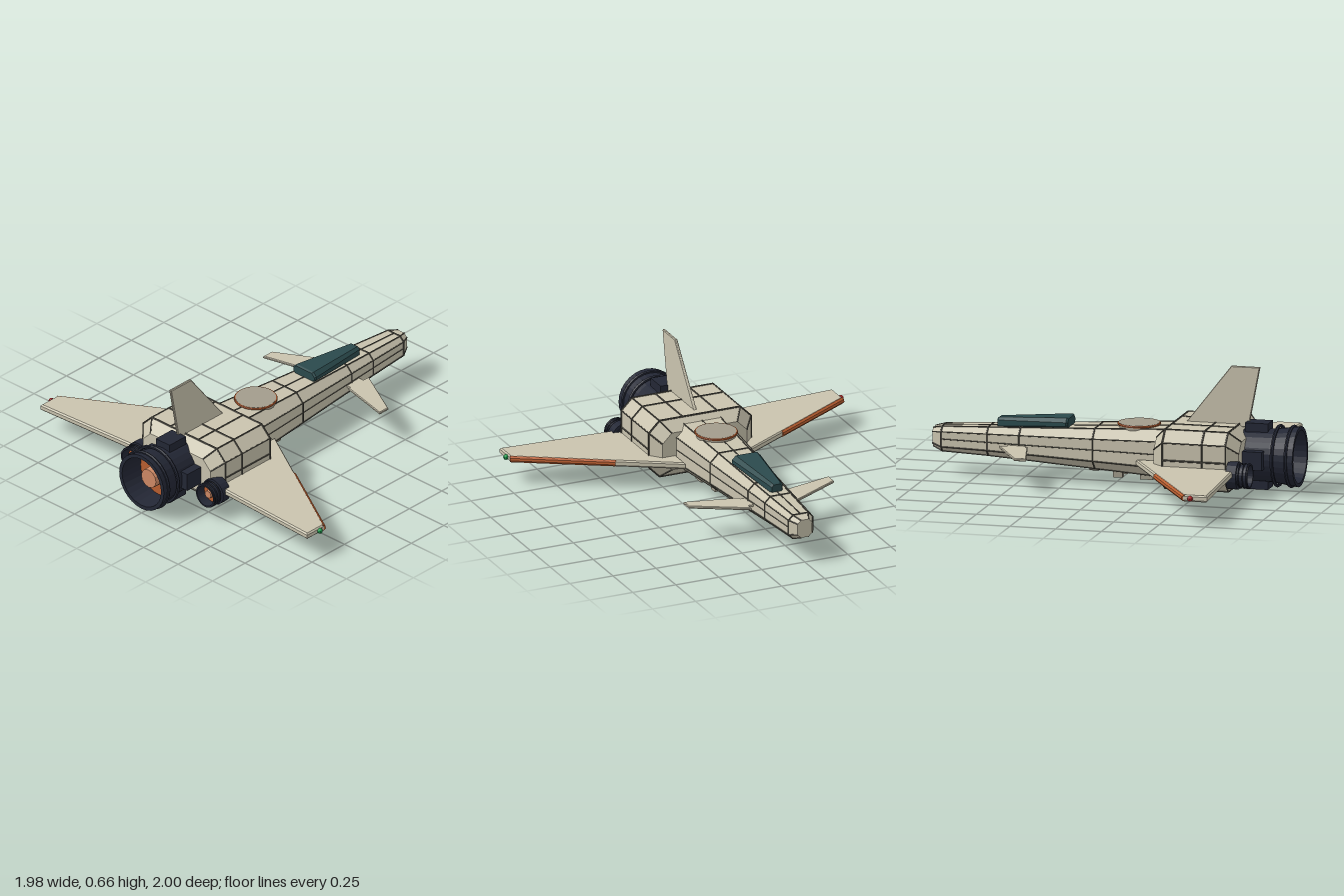
import * as THREE from 'three';

const mat = (color) => new THREE.MeshStandardMaterial({ color, flatShading: true, side: THREE.DoubleSide });
const V = (x, y, z) => new THREE.Vector3(x, y, z);

export function createModel() {
  const root = new THREE.Group();
  const M = {
    hull: mat(0xc9c3ae), seam: mat(0x55534a), dark: mat(0x232735), orange: mat(0xb95e30),
    glow: mat(0xcf8a66), glass: mat(0x2b4a4d), plate: mat(0xa29c8c), red: mat(0xb02a2a), green: mat(0x20a050),
  };

  function add(name, geo, material, parent = root) {
    const m = new THREE.Mesh(geo, material);
    m.name = name;
    parent.add(m);
    return m;
  }
  function group(name) {
    const g = new THREE.Group();
    g.name = name;
    root.add(g);
    return g;
  }
  function box(name, w, h, d, x, y, z, material, parent) {
    const m = add(name, new THREE.BoxGeometry(w, h, d), material, parent);
    m.position.set(x, y, z);
    return m;
  }
  // Thin rod between two points
  function bar(name, p, q, r, material, parent, sides = 6) {
    const d = q.clone().sub(p);
    const m = add(name, new THREE.CylinderGeometry(r, r, d.length(), sides), material, parent);
    m.position.copy(p).add(q).multiplyScalar(0.5);
    m.quaternion.setFromUnitVectors(V(0, 1, 0), d.normalize());
    return m;
  }

  // Chamfered rectangle section: [z, halfWidth, bottom, top, chamfer]
  function ring([z, w, b, t, c]) {
    return [[w, b + c], [w, t - c], [w - c, t], [c - w, t], [-w, t - c], [-w, b + c], [c - w, b], [w - c, b]]
      .map(([x, y]) => V(x, y, z));
  }
  function loft(sections) {
    const pos = [];
    const tri = (...ps) => ps.forEach((p) => pos.push(p.x, p.y, p.z));
    const rings = sections.map(ring);
    for (let i = 0; i < rings.length - 1; i++) {
      for (let j = 0; j < 8; j++) {
        const k = (j + 1) % 8, A = rings[i], B = rings[i + 1];
        tri(A[j], A[k], B[k]);
        tri(A[j], B[k], B[j]);
      }
    }
    const first = rings[0], last = rings[rings.length - 1];
    for (let j = 1; j < 7; j++) {
      tri(first[0], first[j + 1], first[j]);
      tri(last[0], last[j], last[j + 1]);
    }
    const g = new THREE.BufferGeometry();
    g.setAttribute('position', new THREE.Float32BufferAttribute(pos, 3));
    g.computeVertexNormals();
    return g;
  }
  function sectionAt(sections, z) {
    const i = Math.max(1, sections.findIndex((s) => s[0] >= z));
    const a = sections[i - 1], b = sections[i], t = (z - a[0]) / (b[0] - a[0]);
    return a.map((v, k) => v + (b[k] - v) * t);
  }
  // Panel seams: hoops at given z, and rods along every chamfer edge
  function seams(sections, hoops, r, parent) {
    for (const z of hoops) {
      const p = ring(sectionAt(sections, z));
      p.forEach((v, j) => bar('hoopSeam', v, p[(j + 1) % 8], r, M.seam, parent));
    }
    const rings = sections.map(ring);
    for (let i = 0; i < rings.length - 1; i++) {
      rings[i].forEach((v, j) => bar('edgeSeam', v, rings[i + 1][j], r * 0.8, M.seam, parent));
    }
  }

  // Long tapering fuselage
  const fuselage = group('fuselage');
  const fus = [
    [-1, 0.042, 0.15, 0.25, 0.02], [-0.945, 0.07, 0.13, 0.263, 0.026],
    [-0.69, 0.09, 0.122, 0.275, 0.032], [-0.1, 0.135, 0.09, 0.305, 0.048], [0.3, 0.165, 0.068, 0.327, 0.058],
  ];
  add('fuselageShell', loft(fus), M.hull, fuselage);
  seams(fus, [-0.945, -0.69, -0.51, -0.1], 0.0045, fuselage);
  for (let i = 1; i < fus.length - 1; i++) {
    const [z0, w0, b0, t0] = fus[i], [z1, w1, b1, t1] = fus[i + 1];
    bar('topSeam', V(0, t0, z0), V(0, t1, z1), 0.004, M.seam, fuselage);
    bar('bellySeam', V(0, b0, z0), V(0, b1, z1), 0.004, M.seam, fuselage);
    for (const s of [-1, 1]) bar('sideSeam', V(s * w0, 0.198, z0), V(s * w1, 0.198, z1), 0.003, M.seam, fuselage);
  }

  // Broad engine housing
  const housing = group('engineHousing');
  const body = [
    [0.265, 0.245, 0.09, 0.3, 0.055], [0.325, 0.297, 0.037, 0.356, 0.062],
    [0.67, 0.297, 0.037, 0.356, 0.062], [0.73, 0.245, 0.09, 0.3, 0.055],
  ];
  add('housingShell', loft(body), M.hull, housing);
  seams(body, [0.325, 0.54, 0.67], 0.005, housing);
  for (const s of [-1, 1]) {
    for (const y of [0.037, 0.356]) bar('panelSeam', V(s * 0.1, y, 0.325), V(s * 0.1, y, 0.67), 0.005, M.seam, housing);
    bar('sideSeam', V(s * 0.297, 0.2, 0.325), V(s * 0.297, 0.2, 0.67), 0.005, M.seam, housing);
  }

  // Canopy
  add('canopy', loft([
    [-0.648, 0.03, 0.27, 0.318, 0.012], [-0.638, 0.037, 0.265, 0.325, 0.014],
    [-0.26, 0.083, 0.285, 0.348, 0.022], [-0.25, 0.076, 0.29, 0.343, 0.02],
  ]), M.glass);

  // Flat slab from a plan outline of [x, z]
  function slab(points, thick, bevel) {
    const shape = new THREE.Shape(points.map(([x, z]) => new THREE.Vector2(x, z)));
    return new THREE.ExtrudeGeometry(shape, {
      depth: thick - 2 * bevel, bevelEnabled: true, bevelSize: bevel, bevelOffset: -bevel,
      bevelThickness: bevel, bevelSegments: 1,
    }).translate(0, 0, -(thick - 2 * bevel) / 2);
  }

  // Wings, canards and wingtip lights
  for (const s of [-1, 1]) {
    const side = group(s > 0 ? 'leftWing' : 'rightWing');
    const plan = (pts) => pts.map(([x, z]) => [s * x, z]);
    const wing = slab(plan([[0.165, 0.148], [0.967, 0.62], [0.967, 0.752], [0.165, 0.71]]), 0.036, 0.008);
    add('wingPanel', wing.rotateX(Math.PI / 2), M.hull, side).position.y = 0.15;
    bar('leadingEdge', V(s * 0.48, 0.15, 0.343), V(s * 0.963, 0.15, 0.628), 0.018, M.orange, side, 8);
    const lamp = add('tipLight', new THREE.SphereGeometry(0.015, 10, 8), s > 0 ? M.green : M.red, side);
    lamp.position.set(s * 0.973, 0.15, 0.66);
    const canard = slab(plan([[0.13, -0.612], [0.422, -0.452], [0.422, -0.385], [0.13, -0.455]]), 0.015, 0.004);
    add('canard', canard.rotateX(Math.PI / 2), M.hull, side).position.y = 0.186;
    box('canardRoot', 0.06, 0.012, 0.1, s * 0.11, 0.186, -0.52, M.hull, side);
  }

  // Upright tail fin, outlined in [-z, y]
  const fin = slab([[-0.37, 0.34], [-0.625, 0.667], [-0.782, 0.667], [-0.72, 0.34]], 0.016, 0.004);
  add('tailFin', fin.rotateY(Math.PI / 2), M.hull);

  // Round hatches on the back and the belly
  function hatch(name, y, z, dir) {
    const g = group(name);
    add('hatchDisc', new THREE.CylinderGeometry(0.108, 0.108, 0.03, 32), M.plate, g);
    const rim = add('hatchRim', new THREE.TorusGeometry(0.11, 0.006, 6, 32).rotateX(Math.PI / 2), M.orange, g);
    rim.position.y = dir * 0.009;
    g.position.set(0, y, z);
  }
  hatch('topHatch', 0.32, 0.12, 1);
  hatch('bellyHatch', 0.023, 0.505, -1);

  // Rocket nozzle pointing to +z; r is the bell mouth radius
  function nozzle(name, x, y, z0, z1, r, ribs) {
    const g = group(name);
    g.position.set(x, y, 0);
    const deep = z0 + (z1 - z0) * 0.55;
    const prof = [[0, z0], [r * 0.86, z0], [r * 0.88, deep], [r, z1], [r * 0.87, z1], [r * 0.8, deep]];
    const bell = new THREE.LatheGeometry(prof.map(([a, b]) => new THREE.Vector2(a, b)), 28);
    add('bell', bell.rotateX(Math.PI / 2), M.dark, g);
    for (const z of ribs) add('bellRib', new THREE.TorusGeometry(r * 0.98, r * 0.06, 6, 28), M.dark, g).position.z = z;
    add('burner', new THREE.CircleGeometry(r * 0.86, 28), M.orange, g).position.z = deep + 0.004;
    const plug = new THREE.CylinderGeometry(r * 0.33, r * 0.36, (z1 - deep) * 0.6, 12).rotateX(Math.PI / 2);
    add('burnerPlug', plug, M.glow, g).position.z = deep + (z1 - deep) * 0.3;
    return g;
  }
  const main = nozzle('mainEngine', 0, 0.196, 0.7, 1, 0.162, [0.885, 0.96]);
  for (let i = 0; i < 4; i++) {
    const a = i * Math.PI / 2;
    const clamp = box('engineClamp', 0.05, 0.1, 0.125, Math.cos(a) * 0.153, Math.sin(a) * 0.153, 0.775, M.dark, main);
    clamp.rotation.z = a;
  }
  for (const s of [-1, 1]) {
    const small = nozzle(s > 0 ? 'leftEngine' : 'rightEngine', s * 0.272, 0.136, 0.68, 0.8, 0.066, [0.75, 0.772, 0.792]);
    const collar = new THREE.CylinderGeometry(0.074, 0.074, 0.055, 20).rotateX(Math.PI / 2);
    add('engineCollar', collar, M.dark, small).position.z = 0.711;
  }

  // Belly fittings
  const belly = group('bellyFittings');
  for (const s of [-1, 1]) {
    box('bellyBox', 0.035, 0.035, 0.07, s * 0.06, 0.06, 0.18, M.plate, belly);
    box('bellyBlock', 0.03, 0.04, 0.05, s * 0.05, 0.063, 0.02, M.plate, belly);
  }
  box('bellyVent', 0.05, 0.025, 0.05, 0, 0.078, -0.12, M.seam, belly);
  add('bellySensor', new THREE.SphereGeometry(0.015, 10, 8), M.seam, belly).position.set(0, 0.098, -0.35);

  return root;
}
